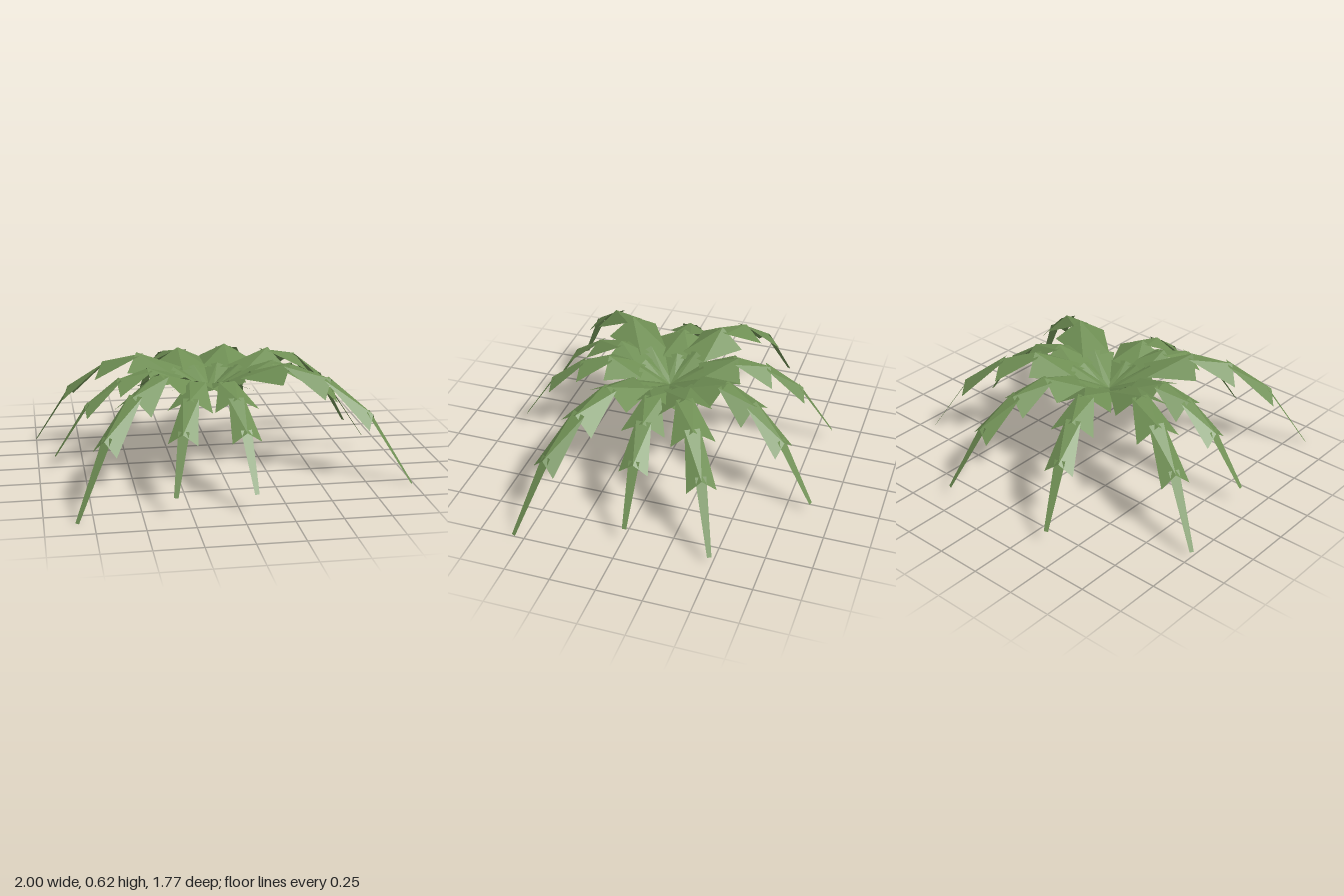
import * as THREE from 'three';

// One frond of unit reach along +x: five ridged segments, each narrow at its
// root and flaring to drooping corners, so the outline steps like a palm leaf.
const spine = [[0, 0], [0.2, 0.11], [0.405, 0.173], [0.6, 0.108], [0.805, -0.045], [1, -0.364]];
const rootWidth = [0.02, 0.08, 0.045, 0.042, 0.03];
const endWidth = [0.12, 0.15, 0.121, 0.08, 0.012];
const droop = [0.035, 0.08, 0.075, 0.062, 0];
const tuck = 0.12; // share of the previous segment that each root slides under

function frondGeometry() {
  const pos = [];
  for (let i = 0; i < 5; i++) {
    const before = spine[Math.max(i - 1, 0)];
    const [r1, h1] = spine[i + 1];
    const r0 = THREE.MathUtils.lerp(spine[i][0], before[0], tuck);
    const h0 = THREE.MathUtils.lerp(spine[i][1], before[1], tuck) - (i ? 0.006 : 0);
    for (const s of [1, -1]) {
      const rootMid = [r0, h0, 0];
      const rootSide = [r0, h0, s * rootWidth[i]];
      const endMid = [r1, h1, 0];
      const endSide = [r1, h1 - droop[i], s * endWidth[i]];
      // wind both halves so that their fronts face up
      const tris = s > 0
        ? [rootMid, rootSide, endMid, rootSide, endSide, endMid]
        : [rootMid, endMid, rootSide, rootSide, endMid, endSide];
      tris.forEach((p) => pos.push(...p));
    }
  }
  const g = new THREE.BufferGeometry();
  g.setAttribute('position', new THREE.Float32BufferAttribute(pos, 3));
  g.computeVertexNormals();
  return g;
}

export function createModel() {
  const group = new THREE.Group();
  group.name = 'palmCrown';
  const leafGreen = new THREE.MeshStandardMaterial({
    color: 0x6f8f54, flatShading: true, side: THREE.DoubleSide,
  });
  leafGreen.name = 'leafGreen';

  // Frond tips (x, z) around the crown's centre
  const centre = [-0.035, 0.03];
  const tips = [
    [0.32, -0.885], [0.88, -0.485], [0.865, -0.015], [0.99, 0.565], [0.075, 0.88],
    [-0.335, 0.85], [-0.835, 0.86], [-0.91, 0.105], [-1.0, -0.44], [-0.365, -0.85],
  ];
  const geometry = frondGeometry();
  tips.forEach(([x, z], i) => {
    const dx = x - centre[0];
    const dz = z - centre[1];
    const reach = Math.hypot(dx, dz);
    const frond = new THREE.Mesh(geometry, leafGreen);
    frond.name = `frond${i + 1}`;
    frond.position.set(centre[0], 0.42, centre[1]);
    frond.rotation.y = Math.atan2(-dz, dx);
    frond.scale.set(reach, reach, 1); // all fronds are equally wide
    group.add(frond);
  });
  return group;
}
